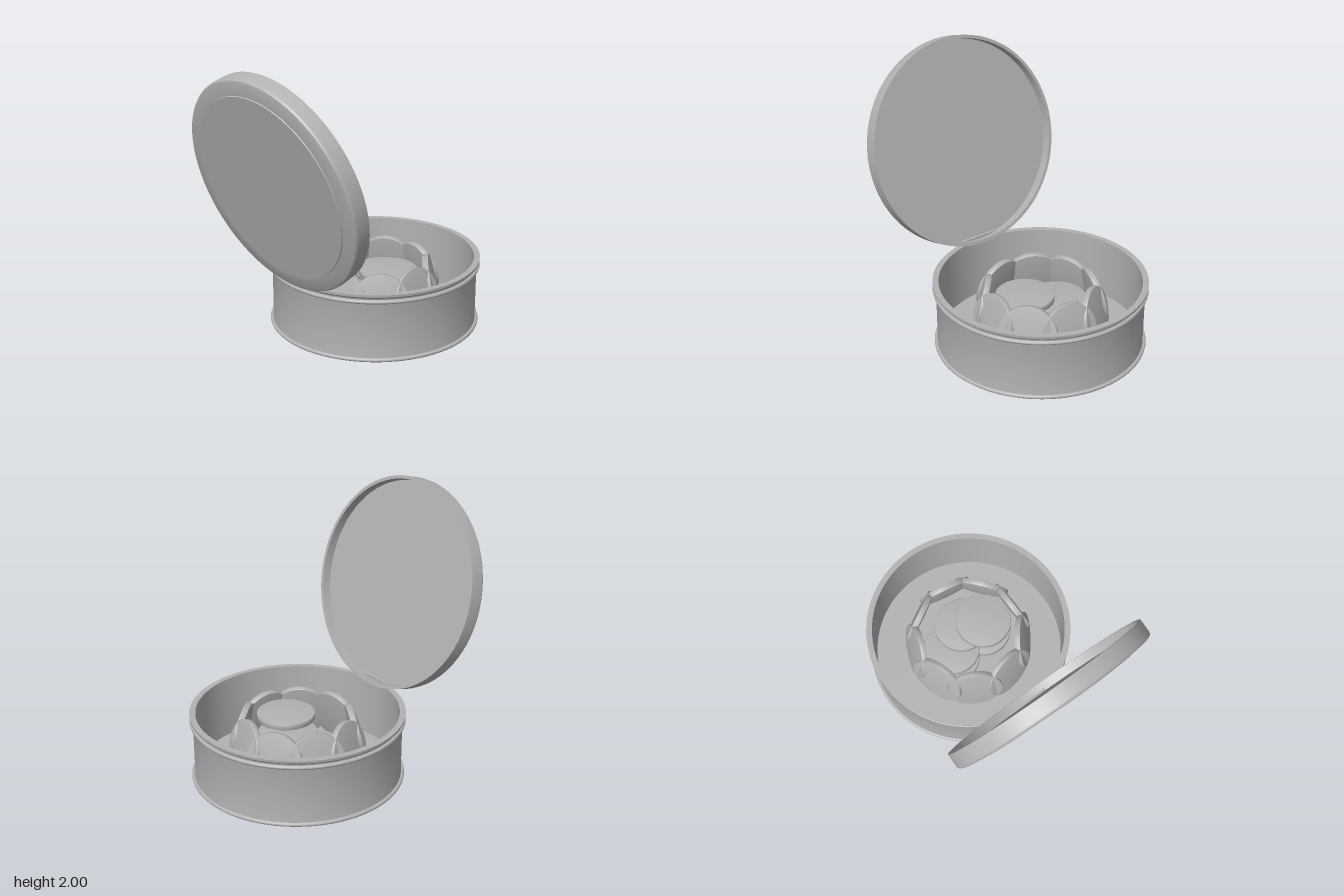
import * as THREE from 'three';
import { toCreasedNormals } from 'three/addons/utils/BufferGeometryUtils.js';

const grey = new THREE.MeshStandardMaterial({ color: 0xb2b2b2 });
grey.name = 'plain grey';

const TIN_Z = -0.205;

function lathe(points, segments, crease = 0.4) {
  const profile = points.map(([r, y]) => new THREE.Vector2(r, y));
  return toCreasedNormals(new THREE.LatheGeometry(profile, segments), crease);
}

function add(parent, name, geometry, x = 0, y = 0, z = 0) {
  const mesh = new THREE.Mesh(geometry, grey);
  mesh.name = name;
  mesh.position.set(x, y, z);
  parent.add(mesh);
  return mesh;
}

function createTin() {
  const tin = new THREE.Group();
  tin.name = 'tin';
  // Hollow body with a flared rim
  add(tin, 'body', lathe([
    [0, 0.008], [0.745, 0.008], [0.742, 0.03], [0.742, 0.455], [0.747, 0.468],
    [0.763, 0.482], [0.765, 0.5], [0.722, 0.5], [0.722, 0.04], [0, 0.04],
  ], 96));
  // Rolled beads around the wall
  for (const [name, y] of [['bottomBead', 0.015], ['upperBead', 0.445]]) {
    add(tin, name, new THREE.TorusGeometry(0.75, 0.015, 12, 96), 0, y, 0).rotation.x = Math.PI / 2;
  }
  return tin;
}

function createMints() {
  const mints = new THREE.Group();
  mints.name = 'mints';
  // Round tablet with a straight edge and gently domed faces
  const tablet = lathe([
    [0, -0.034], [0.1, -0.031], [0.17, -0.026], [0.208, -0.021], [0.21, -0.018],
    [0.21, 0.018], [0.208, 0.021], [0.17, 0.026], [0.1, 0.031], [0, 0.034],
  ], 48, 0.6);

  // Ring of tablets on edge, leaning inward
  for (let i = 0; i < 9; i++) {
    const spoke = new THREE.Group();
    spoke.name = 'ringMint' + (i + 1);
    spoke.rotation.y = (i * Math.PI * 2) / 9;
    add(spoke, 'tablet', tablet, 0.415, 0.28, 0).rotation.z = -Math.PI / 2 + 0.227;
    mints.add(spoke);
  }

  // Overlapping pile in the middle, from the top down
  const spots = [[0.14, 0], [0, -0.09], [-0.155, 0]];
  for (let i = 0; i < 6; i++) {
    const [x, z] = spots[i % 3];
    add(mints, 'pileMint' + (i + 1), tablet, x, 0.396 - i * 0.064, z);
  }
  return mints;
}

function createLid() {
  const lid = new THREE.Group();
  lid.name = 'lid';
  // Shallow dish with a rounded edge and a slightly raised centre panel
  add(lid, 'lidShell', lathe([
    [0, 0.07], [0.75, 0.07], [0.752, 0], [0.776, 0], [0.777, 0.09], [0.775, 0.106],
    [0.768, 0.117], [0.757, 0.122], [0.667, 0.128], [0.665, 0.136], [0, 0.138],
  ], 96));
  // Stands open, tipped forward
  lid.position.set(0, 1.25, 0.66);
  lid.rotation.x = THREE.MathUtils.degToRad(105);
  return lid;
}

export function createModel() {
  const model = new THREE.Group();
  model.name = 'mintTin';

  const tin = createTin();
  const mints = createMints();
  tin.position.z = mints.position.z = TIN_Z;
  model.add(tin, mints, createLid());

  // Hinge tab joining lid and tin
  add(model, 'hinge', new THREE.BoxGeometry(0.32, 0.035, 0.02), 0, 0.51, 0.53);
  return model;
}
